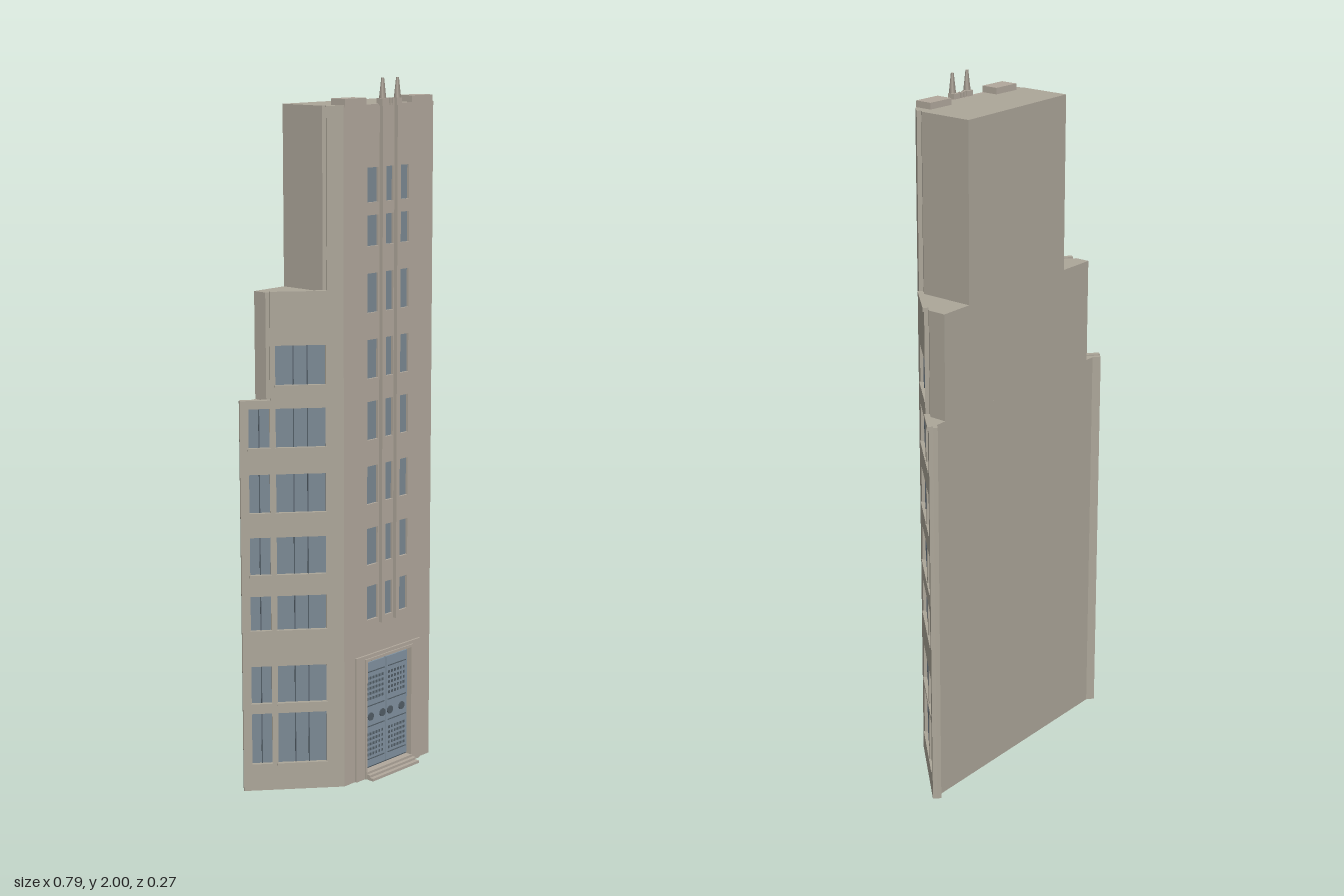
import * as THREE from 'three';

const mat = (name, color) => new THREE.MeshStandardMaterial({ name, color });
const stone = mat('frontStone', 0xb1a89c);
const wingStone = mat('wingStone', 0xaca699);
const glass = mat('windowGlass', 0x7b8993);
const doorPaint = mat('doorPaint', 0x8293a1);
const dark = mat('darkMetal', 0x525d66);

const D = 0.012;                       // wall thickness in front of the core
const FRONT = 0.1, XL = -0.175, XR = 0.19;
const TIERS = [1.13, 1.43, 1.93];
const ROWS = [[0.08, 0.23], [0.26, 0.37], [0.475, 0.575], [0.637, 0.745], [0.815, 0.925], [1.0, 1.11], [1.175, 1.285]];
const TOWER_ROWS = [...ROWS.slice(2), [1.36, 1.47], [1.545, 1.63], [1.665, 1.76]];

function add(parent, name, geometry, material) {
  const m = new THREE.Mesh(geometry, material);
  m.name = name;
  parent.add(m);
  return m;
}

// Box given by its minimum and maximum corners
function box(parent, name, material, x0, x1, y0, y1, z0, z1) {
  const g = new THREE.BoxGeometry(x1 - x0, y1 - y0, z1 - z0);
  g.translate((x0 + x1) / 2, (y0 + y1) / 2, (z0 + z1) / 2);
  return add(parent, name, g, material);
}

// Upright prism over a plan outline of [x, z] points
function prism(parent, name, material, plan, y0, y1) {
  const shape = new THREE.Shape(plan.map(([x, z]) => new THREE.Vector2(x, -z)));
  const g = new THREE.ExtrudeGeometry(shape, { depth: y1 - y0, bevelEnabled: false });
  g.rotateX(-Math.PI / 2).translate(0, y0, 0);
  return add(parent, name, g, material);
}

// Wall slab with rectangular holes; its outer face lies at local z = 0
function wall(parent, name, material, outline, holes) {
  const shape = new THREE.Shape(outline.map(([x, y]) => new THREE.Vector2(x, y)));
  for (const [a, b, y0, y1] of holes) {
    const h = new THREE.Path();
    h.moveTo(a, y0).lineTo(b, y0).lineTo(b, y1).lineTo(a, y1).closePath();
    shape.holes.push(h);
  }
  const g = new THREE.ExtrudeGeometry(shape, { depth: D, bevelEnabled: false });
  return add(parent, name, g.translate(0, 0, -D), material);
}

// Slanted wings: front corner, outer tip, and fin and back corners in plan
const WINGS = [
  { s: -1, name: 'right', corner: [XL, FRONT], tip: [-0.395, -0.085], fin: [-0.38, -0.103], back: [-0.36, -0.088], cuts: [-0.33, -0.21] },
  { s: 1, name: 'left', corner: [XR, FRONT], tip: [0.393, -0.12], fin: [0.376, -0.137], back: [0.36, -0.12], cuts: [0.325, 0.22] },
];
for (const w of WINGS) {
  const dx = w.tip[0] - w.corner[0], dz = w.tip[1] - w.corner[1];
  w.len = Math.hypot(dx, dz);
  w.angle = w.s * Math.atan2(-dz, Math.abs(dx));
  w.along = x => (x - w.corner[0]) / dx * w.len;
  const n = [w.s * dz / w.len * D, -Math.abs(dx) / w.len * D];
  w.innerTip = [w.tip[0] + n[0], w.tip[1] + n[1]];
  const slope = dz / dx;
  w.innerZ = x => w.innerTip[1] + (x - w.innerTip[0]) * slope;
  w.innerCorner = [w.innerTip[0] + (FRONT - D - w.innerTip[1]) / slope, FRONT - D];
}
const [RW, LW] = WINGS;
const backZ = x => -0.104 - x * 0.0444;

function buildCore(root) {
  prism(root, 'lowerBody', wingStone,
    [RW.innerTip, RW.innerCorner, LW.innerCorner, LW.innerTip, LW.fin, LW.back, RW.back, RW.fin], 0, TIERS[0]);
  for (const i of [0, 1]) {
    const a = RW.cuts[i], b = LW.cuts[i];
    prism(root, i ? 'towerBody' : 'middleBody', wingStone,
      [[a, RW.innerZ(a)], RW.innerCorner, LW.innerCorner, [b, LW.innerZ(b)], [b, backZ(b)], [a, backZ(a)]],
      TIERS[i], TIERS[i + 1]);
  }
}

function buildWing(root, w) {
  const g = new THREE.Group();
  g.name = w.name + 'Wing';
  g.position.set(w.corner[0], 0, w.corner[1]);
  g.rotation.y = w.angle;
  root.add(g);
  const L = w.len, s2 = w.along(w.cuts[0]), s1 = w.along(w.cuts[1]);
  const span = (a, b) => (w.s > 0 ? [a, b] : [-b, -a]);
  const wide = span(0.175 * L, 0.655 * L), narrow = span(0.715 * L, 0.915 * L);
  const holes = ROWS.flatMap(([y0, y1], i) =>
    (i < 6 ? [wide, narrow] : [wide]).map(([a, b]) => [a, b, y0, y1]));
  wall(g, 'wingWall', wingStone,
    [[0, 0], [L, 0], [L, TIERS[0]], [s2, TIERS[0]], [s2, TIERS[1]], [s1, TIERS[1]], [s1, TIERS[2]], [0, TIERS[2]]]
      .map(([x, y]) => [w.s * x, y]), holes);
  // Panes, mullions and sills
  for (const [a, b, y0, y1] of holes) {
    box(g, 'wingPane', glass, a, b, y0, y1, -D - 0.002, -D + 0.003);
    box(g, 'wingSill', wingStone, a - 0.003, b + 0.003, y0 - 0.007, y0, -0.004, 0.003);
    const isWide = b - a > 0.1;
    for (const t of isWide ? [0.36, 0.64] : [0.5]) {
      const m = a + (b - a) * (w.s > 0 ? t : 1 - t);
      box(g, 'wingMullion', dark, m - 0.0015, m + 0.0015, y0, y1, -D, -D + 0.006);
    }
  }
  // Copings on the two steps
  for (const [a, b, y] of [[s2, L, TIERS[0]], [s1, s2, TIERS[1]]]) {
    const [p, q] = span(a, b);
    box(g, 'coping', wingStone, p, q, y - 0.008, y + 0.004, -D, 0.004);
  }
}

function buildFront(root) {
  const g = new THREE.Group();
  g.name = 'frontFacade';
  g.position.z = FRONT;
  root.add(g);
  const cols = [[-0.08, -0.036], [-0.014, 0.026], [0.046, 0.09]];
  const holes = TOWER_ROWS.flatMap(([y0, y1]) => cols.map(([a, b]) => [a, b, y0, y1]));
  wall(g, 'frontWall', stone,
    [[XL, 0], [-0.088, 0], [-0.088, 0.355], [0.1, 0.355], [0.1, 0], [XR, 0], [XR, TIERS[2]], [XL, TIERS[2]]], holes);
  for (const [a, b, y0, y1] of holes) {
    box(g, 'towerPane', glass, a, b, y0, y1, -D - 0.002, -D + 0.005);
  }
  // Tall ribs ending in tapered finials above the roof
  for (const x of [-0.024, 0.036]) {
    box(g, 'rib', stone, x - 0.007, x + 0.007, 0.46, 1.94, -0.005, 0.012);
    const tip = new THREE.CylinderGeometry(0.004, 0.0105, 0.06, 4).rotateY(Math.PI / 4);
    add(g, 'finial', tip, stone).position.set(x, 1.97, 0.004);
    box(g, 'finialFoot', stone, x - 0.01, x + 0.01, 1.925, 1.945, -0.01, 0.012);
  }
  // Raised parapet blocks and small merlons between the ribs
  box(g, 'parapetBlock', stone, -0.17, -0.085, 1.925, 1.948, -0.05, 0.001);
  box(g, 'parapetBlock', stone, 0.1, 0.185, 1.925, 1.948, -0.05, 0.001);
  for (let i = 0; i < 4; i++) {
    const x = -0.012 + i * 0.012;
    box(g, 'merlon', stone, x - 0.003, x + 0.003, 1.925, 1.945, -0.01, 0.002);
  }
}

function buildEntrance(root) {
  const g = new THREE.Group();
  g.name = 'entrance';
  g.position.z = FRONT;
  root.add(g);
  // Two stepped surrounds
  const surround = (name, x0, x1, top, z, w) => {
    box(g, name, stone, x0, x0 + w, 0, top, -0.002, z);
    box(g, name, stone, x1 - w, x1, 0, top, -0.002, z);
    box(g, name, stone, x0 + w, x1 - w, top - (top - 0.355), top, -0.002, z);
  };
  surround('outerSurround', -0.13, 0.143, 0.373, 0.006, 0.042);
  surround('innerSurround', -0.095, 0.107, 0.363, 0.01, 0.007);
  // Door leaves with lattice bands and handles
  box(g, 'doorRecess', dark, -0.088, 0.1, 0, 0.355, -D - 0.002, -D + 0.002);
  for (const [a, b, inner] of [[-0.085, 0.0045, -1], [0.0075, 0.097, 1]]) {
    box(g, 'doorLeaf', doorPaint, a, b, 0.028, 0.345, -D, -0.005);
    for (const [y0, n] of [[0.065, 5], [0.235, 5]]) {
      for (let r = 0; r < n; r++) for (let c = 0; c < 6; c++) {
        const x = a + 0.011 + c * 0.0128, y = y0 + r * 0.0155;
        box(g, 'latticeOpening', dark, x - 0.0035, x + 0.0035, y - 0.004, y + 0.004, -0.006, -0.004);
      }
    }
    for (const y of [0.05, 0.15, 0.212, 0.315]) {
      box(g, 'doorRail', dark, a + 0.006, b - 0.006, y, y + 0.0025, -0.006, -0.003);
    }
    const mid = (a + b) / 2;
    for (const x of [mid - inner * 0.03, mid + inner * 0.02]) {
      const disc = new THREE.CylinderGeometry(0.012, 0.012, 0.004, 12).rotateX(Math.PI / 2);
      add(g, 'doorBoss', disc, dark).position.set(x, 0.18, -0.004);
    }
  }
  // Steps
  [[0.012, 0.022], [0.023, 0.015], [0.035, 0.008]].forEach(([z, y]) =>
    box(g, 'step', stone, -0.092, 0.107, 0, y, -D, z));
}

export function createModel() {
  const root = new THREE.Group();
  root.name = 'building';
  buildCore(root);
  WINGS.forEach(w => buildWing(root, w));
  buildFront(root);
  buildEntrance(root);
  return root;
}
